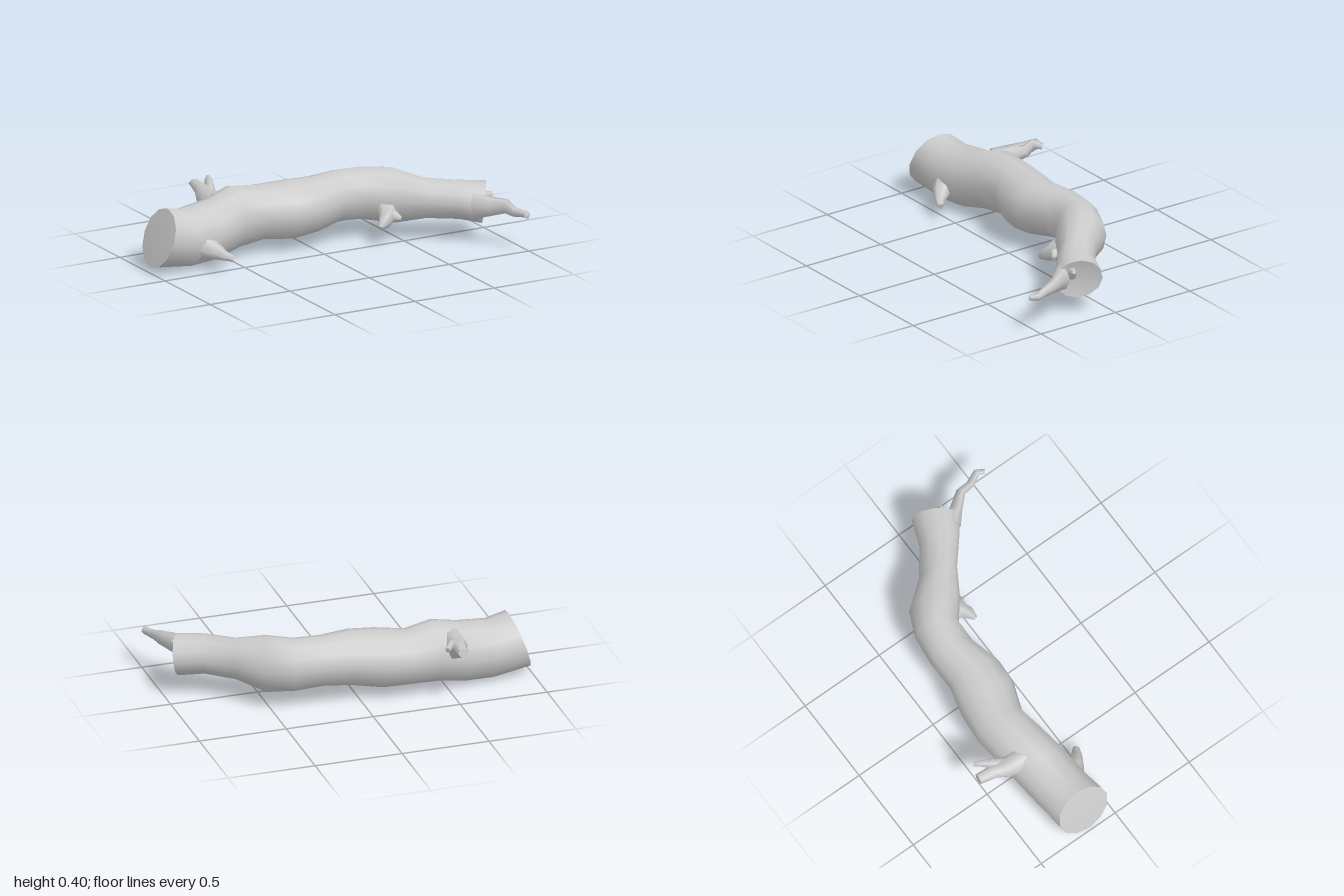
import * as THREE from 'three';

const material = new THREE.MeshStandardMaterial({ color: 0xcccccc, side: THREE.DoubleSide });

// Skins a list of equal rings; smooth along the bark, sharp where the caps meet it.
function loft(name, rings, startCentre, endCentre) {
  const pos = [], index = [], n = rings[0].length;
  const add = (p) => pos.push(p.x, p.y, p.z) / 3 - 1;
  rings.forEach((ring) => ring.forEach(add));
  for (let i = 0; i < rings.length - 1; i++) {
    for (let j = 0; j < n; j++) {
      const a = i * n + j, b = i * n + (j + 1) % n;
      index.push(a, a + n, b, b, a + n, b + n);
    }
  }
  const cap = (ring, centre, flip) => {
    const first = ring.map(add)[0], c = add(centre);
    for (let j = 0; j < n; j++) {
      const a = first + j, b = first + (j + 1) % n;
      index.push(c, flip ? b : a, flip ? a : b);
    }
  };
  cap(rings[0], startCentre, false);
  cap(rings[rings.length - 1], endCentre, true);
  const geometry = new THREE.BufferGeometry();
  geometry.setAttribute('position', new THREE.Float32BufferAttribute(pos, 3));
  geometry.setIndex(index);
  geometry.computeVertexNormals();
  const mesh = new THREE.Mesh(geometry, material);
  mesh.name = name;
  return mesh;
}

// Trunk ring: back edge (x, z), front edge (x, z), low and high y, lean of the cut along x.
function trunkRing([bx, bz, fx, fz, low, high, lean = 0]) {
  return Array.from({ length: 12 }, (_, j) => {
    const t = j / 12 * Math.PI * 2, c = Math.cos(t), s = Math.sin(t);
    return new THREE.Vector3(
      (bx + fx) / 2 + c * (fx - bx) / 2 + s * lean,
      (low + high) / 2 + s * (high - low) / 2,
      (bz + fz) / 2 + c * (fz - bz) / 2);
  });
}

// Twig: each node is x, y, z, half width across, half height.
function twig(name, nodes) {
  const pts = nodes.map(([x, y, z]) => new THREE.Vector3(x, y, z));
  const rings = nodes.map(([, , , w, h], i) => {
    const dir = pts[Math.min(i + 1, pts.length - 1)].clone().sub(pts[Math.max(i - 1, 0)]).normalize();
    const across = dir.clone().cross(new THREE.Vector3(0, 1, 0)).normalize();
    const up = across.clone().cross(dir);
    return Array.from({ length: 6 }, (_, j) => {
      const t = j / 6 * Math.PI * 2;
      return pts[i].clone().addScaledVector(across, w * Math.cos(t)).addScaledVector(up, h * Math.sin(t));
    });
  });
  return loft(name, rings, pts[0], pts[pts.length - 1]);
}

export function createModel() {
  const log = new THREE.Group();
  log.name = 'fallenLog';

  // Bent trunk with a slanted cut at one end and a hollowed break at the other
  const sections = [
    [-0.94, -0.33, -0.94, -0.01, 0.03, 0.35, 0.055],
    [-0.77, -0.345, -0.77, -0.03, 0.0, 0.33],
    [-0.60, -0.365, -0.60, -0.045, 0.01, 0.35],
    [-0.44, -0.39, -0.44, -0.08, 0.045, 0.395],
    [-0.28, -0.405, -0.28, -0.105, 0.06, 0.37],
    [-0.12, -0.39, -0.12, -0.045, 0.05, 0.38],
    [0.05, -0.35, 0.02, -0.04, 0.075, 0.385],
    [0.22, -0.355, 0.19, -0.09, 0.105, 0.388],
    [0.39, -0.335, 0.33, -0.085, 0.09, 0.39],
    [0.54, -0.27, 0.45, 0.01, 0.07, 0.388],
    [0.66, -0.115, 0.60, 0.10, 0.11, 0.34],
    [0.81, 0.0, 0.73, 0.21, 0.115, 0.335],
    [0.965, 0.06, 0.84, 0.29, 0.095, 0.325, 0.015],
  ];
  log.add(loft('trunk', sections.map(trunkRing),
    new THREE.Vector3(-0.95, 0.19, -0.17), new THREE.Vector3(0.88, 0.21, 0.16)));

  // Forked branch on the back
  log.add(twig('backBranch', [
    [-0.52, 0.27, -0.30, 0.075, 0.10],
    [-0.525, 0.295, -0.39, 0.055, 0.065],
    [-0.51, 0.32, -0.46, 0.04, 0.04],
    [-0.50, 0.335, -0.56, 0.032, 0.025],
  ]));
  log.add(twig('backBranchFork', [
    [-0.51, 0.30, -0.38, 0.045, 0.05],
    [-0.465, 0.33, -0.45, 0.028, 0.035],
    [-0.45, 0.365, -0.49, 0.02, 0.03],
    [-0.42, 0.35, -0.53, 0.015, 0.018],
  ]));

  // Broken stubs along the front
  log.add(twig('frontStub', [
    [-0.71, 0.13, -0.10, 0.09, 0.09],
    [-0.67, 0.115, -0.03, 0.05, 0.05],
    [-0.63, 0.09, 0.01, 0.03, 0.028],
    [-0.59, 0.075, 0.035, 0.018, 0.018],
  ]));
  log.add(twig('bendStub', [
    [0.44, 0.18, -0.10, 0.10, 0.08],
    [0.41, 0.155, -0.02, 0.05, 0.06],
    [0.37, 0.13, 0.015, 0.035, 0.04],
    [0.335, 0.105, 0.03, 0.015, 0.015],
  ]));
  log.add(twig('bendStubSpur', [
    [0.42, 0.16, -0.04, 0.05, 0.05],
    [0.44, 0.15, 0.01, 0.025, 0.03],
    [0.465, 0.14, 0.03, 0.01, 0.012],
  ]));

  // Crooked twig leaving the broken end
  log.add(twig('endTwig', [
    [0.82, 0.215, 0.22, 0.055, 0.085],
    [0.875, 0.22, 0.295, 0.035, 0.06],
    [0.935, 0.23, 0.37, 0.027, 0.042],
    [0.945, 0.215, 0.44, 0.022, 0.028],
    [0.98, 0.215, 0.51, 0.02, 0.018],
    [0.96, 0.213, 0.55, 0.015, 0.012],
  ]));
  log.add(twig('endSplinter', [
    [0.87, 0.24, 0.20, 0.03, 0.04],
    [0.905, 0.26, 0.215, 0.02, 0.025],
    [0.925, 0.27, 0.225, 0.008, 0.01],
  ]));
  return log;
}
